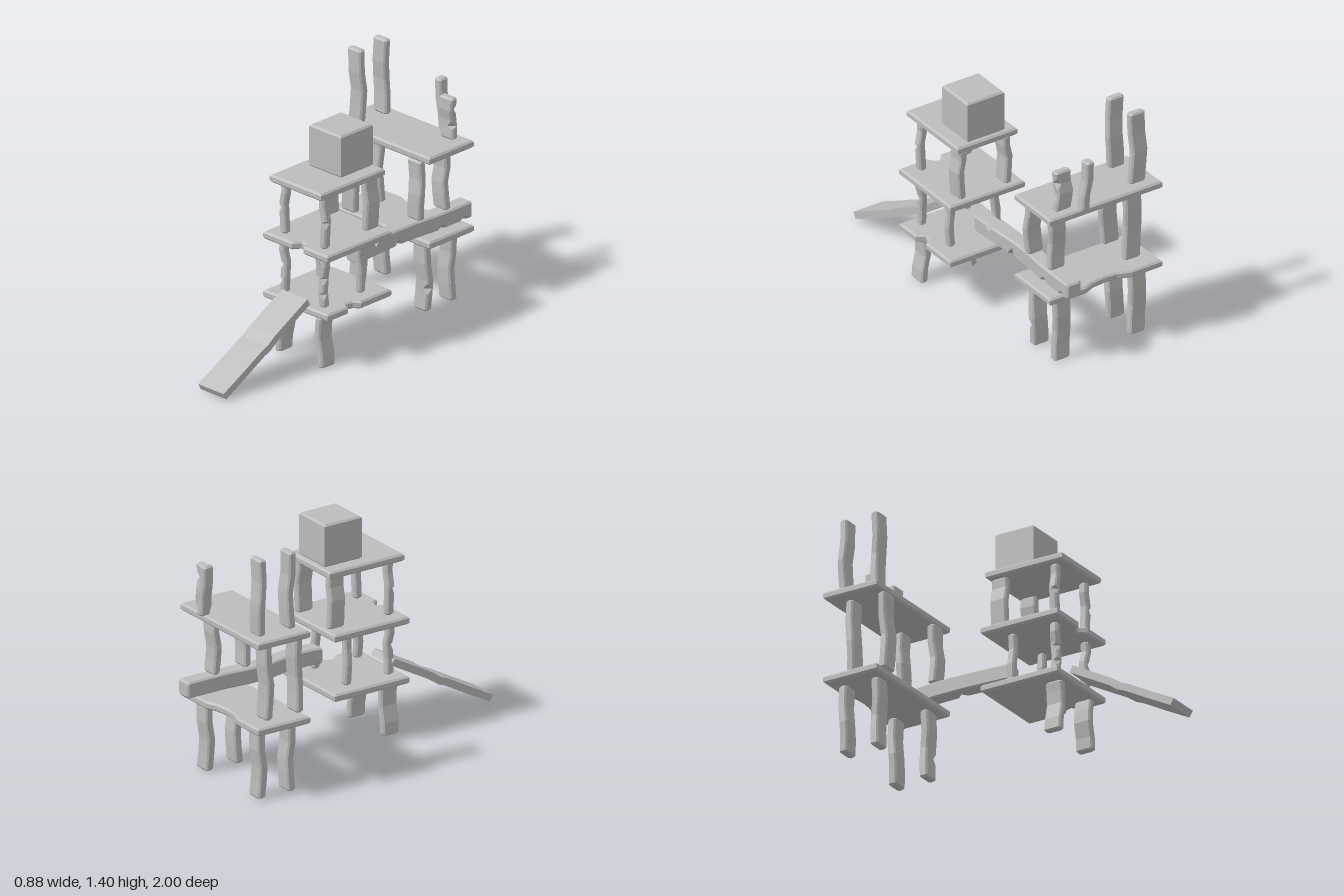
import * as THREE from 'three';

const stone = new THREE.MeshStandardMaterial({ color: 0xbcbcbc });
stone.name = 'grey';

const CORNERS = [[1, 1], [1, -1], [-1, -1], [-1, 1]];

// Linear lookup of sideways offset [dx, dz] along a list of [t, dx, dz]
function offsetAt(bend, t) {
  for (let i = 1; i < bend.length; i++) {
    const a = bend[i - 1], b = bend[i];
    if (t <= b[0]) {
      const k = (t - a[0]) / (b[0] - a[0]);
      return [a[1] + (b[1] - a[1]) * k, a[2] + (b[2] - a[2]) * k];
    }
  }
  return bend[bend.length - 1].slice(1);
}

// Bent, chamfered timber running along y; notches are [t, corner, depth]
function timber(y0, y1, w, d, bend, notches = []) {
  const len = y1 - y0, e = 0.01 / len, spread = 0.03 / len;
  const ts = new Set([0, e, 1 - e, 1]);
  bend.forEach(b => { if (b[0] > e && b[0] < 1 - e) ts.add(b[0]); });
  notches.forEach(n => [-spread, 0, spread].forEach(s => ts.add(n[0] + s)));
  const rows = [...ts].sort((a, b) => a - b);
  const pos = [], index = [];
  for (const t of rows) {
    const inset = t === 0 || t === 1 ? 0.009 : 0;
    const hw = w / 2 - inset, hd = d / 2 - inset;
    const [ox, oz] = offsetAt(bend, t);
    CORNERS.forEach(([sx, sz], i) => {
      const n = notches.find(q => q[1] === i && q[0] === t);
      const c = n ? n[2] : 0.009;
      const onZ = [ox + sx * (hw - c), y0 + t * len, oz + sz * hd];
      const onX = [ox + sx * hw, y0 + t * len, oz + sz * (hd - c)];
      if (i % 2) pos.push(...onX, ...onZ);
      else pos.push(...onZ, ...onX);
    });
  }
  for (let r = 0; r < rows.length - 1; r++) {
    for (let i = 0; i < 8; i++) {
      const a = r * 8 + i, b = r * 8 + (i + 1) % 8;
      index.push(a, b, b + 8, a, b + 8, a + 8);
    }
  }
  const top = (rows.length - 1) * 8;
  for (let i = 1; i < 7; i++) index.push(0, i + 1, i, top, top + i, top + i + 1);
  const g = new THREE.BufferGeometry();
  g.setAttribute('position', new THREE.Float32BufferAttribute(pos, 3));
  g.setIndex(index);
  const flat = g.toNonIndexed();
  flat.computeVertexNormals();
  return flat;
}

// Bevelled slab from an outline of [x, z] points, listed from back-left round by the front
function slab(outline, y0, y1) {
  const b = 0.01;
  const shape = new THREE.Shape(outline.map(([x, z]) => new THREE.Vector2(x, -z)));
  const g = new THREE.ExtrudeGeometry(shape, {
    depth: y1 - y0 - 2 * b, bevelEnabled: true, bevelSegments: 1,
    bevelSize: b, bevelThickness: b, bevelOffset: -b,
  });
  g.rotateX(-Math.PI / 2);
  g.translate(0, y0 + b, 0);
  return g;
}

export function createModel() {
  const model = new THREE.Group();
  model.name = 'ruinTowers';
  const add = (name, geometry, x = 0, z = 0, parent = model) => {
    const m = new THREE.Mesh(geometry, stone);
    m.name = name;
    m.position.set(x, 0, z);
    parent.add(m);
    return m;
  };
  const group = name => {
    const g = new THREE.Group();
    g.name = name;
    model.add(g);
    return g;
  };

  // Front tower: three platforms, two of them chipped at an edge
  const front = group('frontTower');
  add('lowerPlatform', slab([[-0.06, -0.158], [-0.06, 0.34], [0.435, 0.34], [0.435, 0.18],
    [0.39, 0.15], [0.4, 0.11], [0.435, 0.08], [0.435, -0.158]], 0.31, 0.355), 0, 0, front);
  add('middlePlatform', slab([[-0.06, -0.158], [-0.06, 0.34], [0.16, 0.34], [0.19, 0.295],
    [0.22, 0.3], [0.25, 0.34], [0.435, 0.34], [0.435, -0.158]], 0.66, 0.705), 0, 0, front);
  add('upperPlatform', slab([[-0.01, -0.158], [-0.01, 0.34], [0.385, 0.34], [0.385, -0.158]],
    1.015, 1.06), 0, 0, front);
  add('topBlock', slab([[0.065, -0.14], [0.065, 0.108], [0.31, 0.108], [0.31, -0.14]],
    1.06, 1.31), 0, 0, front);

  // Front tower posts, mirrored about x = 0.188
  for (const s of [-1, 1]) {
    const x = 0.188 + s * 0.15, outer = s > 0 ? 0 : 3;
    const lowBend = [[0, s * 0.013, 0], [0.25, s * 0.008, 0], [0.55, -s * 0.012, 0], [0.8, -s * 0.008, 0], [1, 0, 0]];
    add('lowerPost', timber(0.005, 0.305, 0.045, 0.105, lowBend), x, 0.265, front);
    const midBend = [[0, 0, 0], [0.3, -s * 0.006, 0.004], [0.6, -s * 0.006, -0.003], [0.8, s * 0.008, 0.002], [1, s * 0.004, 0]];
    add('middleFrontPost', timber(0.355, 0.66, 0.045, 0.048, midBend,
      [[0.25, outer, 0.03], [0.55, outer, 0.03]]), x, 0.267, front);
    add('middleRearPost', timber(0.355, 0.66, 0.045, 0.045,
      [[0, 0, -0.004], [0.4, s * 0.006, 0], [0.7, -s * 0.006, 0.003], [1, 0, 0.002]]), x, -0.011, front);
    const upBend = [[0, 0, 0], [0.3, s * 0.006, 0], [0.55, s * 0.01, 0], [0.8, -s * 0.006, 0], [1, -s * 0.004, 0]];
    add('upperFrontPost', timber(0.705, 1.015, 0.046, 0.048, upBend, [[0.5, outer, 0.03]]), x, 0.265, front);
    add('upperRearPost', timber(0.71, 1.015, 0.046, 0.1, upBend), x, -0.09, front);
  }

  // Rear tower: two long platforms, the lower one worn along the back
  const rear = group('rearTower');
  add('lowerPlatform', slab([[-0.44, -0.935], [-0.44, -0.588], [0.305, -0.588], [0.305, -0.935],
    [0.06, -0.935], [0, -0.91], [-0.09, -0.9], [-0.16, -0.905], [-0.24, -0.935]], 0.41, 0.455), 0, 0, rear);
  add('upperPlatform', slab([[-0.44, -0.935], [-0.44, -0.588], [0.305, -0.588], [0.305, -0.935]],
    0.915, 0.96), 0, 0, rear);

  // Rear tower posts: s mirrors the bend between front and back rows
  const wave = (s, k = 1) => [[0, 0, 0], [0.25, s * 0.006, -0.006 * k], [0.45, s * 0.013, -0.006 * k],
    [0.7, s * 0.006, 0.006 * k], [1, 0, 0.003 * k]];
  for (const s of [-1, 1]) {
    const zLow = s > 0 ? -0.655 : -0.856, zMid = s > 0 ? -0.604 : -0.81;
    for (const x of [-0.315, 0.185]) {
      const left = x < 0;
      add('lowerPost', timber(0.005, 0.41, 0.1, 0.05, wave(s, s),
        !left && s > 0 ? [[0.33, 0, 0.035]] : []), x, zLow, rear);
      add('middlePost', timber(left ? 0.455 : 0.56, 0.915, left ? 0.105 : 0.1, 0.046,
        wave(s, -1)), x, zMid, rear);
    }
    add('tallPost', timber(0.962, 1.41, 0.098, 0.046, wave(s)), -0.318, zLow, rear);
  }
  add('brokenPost', timber(0.962, 1.21, 0.1, 0.048, wave(-1),
    [[0.3, 0, 0.035], [0.7, 1, 0.03]]), 0.182, -0.865, rear);
  add('leaningPost', timber(0.962, 1.262, 0.05, 0.064,
    [[0, 0.018, 0], [0.3, 0.012, 0.002], [0.6, -0.008, 0], [1, -0.012, 0]], [[0.25, 0, 0.03]]), 0.067, -0.935, rear);

  // Beam bridging the towers
  const beam = timber(-1, -0.095, 0.095, 0.095,
    [[0, 0, 0.004], [0.3, 0, 0.004], [0.46, -0.014, 0.004], [0.62, -0.014, 0.002],
      [0.75, 0.002, -0.004], [0.9, 0.006, -0.002], [1, 0.004, 0.003]],
    [[0.07, 0, 0.03], [0.26, 0, 0.04], [0.62, 0, 0.05], [0.84, 1, 0.04]]);
  beam.rotateX(Math.PI / 2);
  beam.translate(0.187, 0.51, 0);
  add('bridgeBeam', beam);

  // Ramp: side profile in (z, y) extruded across x
  const line = [[0.99, 0.027], [0.84, 0.107], [0.69, 0.19], [0.645, 0.208], [0.59, 0.248], [0.335, 0.388]];
  const side = k => line.map(([z, y]) => new THREE.Vector2(z + k * 0.0105, y + k * 0.0185));
  const ramp = new THREE.ExtrudeGeometry(
    new THREE.Shape([...side(1), ...side(-1).reverse()]), { depth: 0.195, bevelEnabled: false });
  ramp.rotateY(-Math.PI / 2);
  ramp.translate(0.285, 0, 0);
  add('ramp', ramp);

  return model;
}
